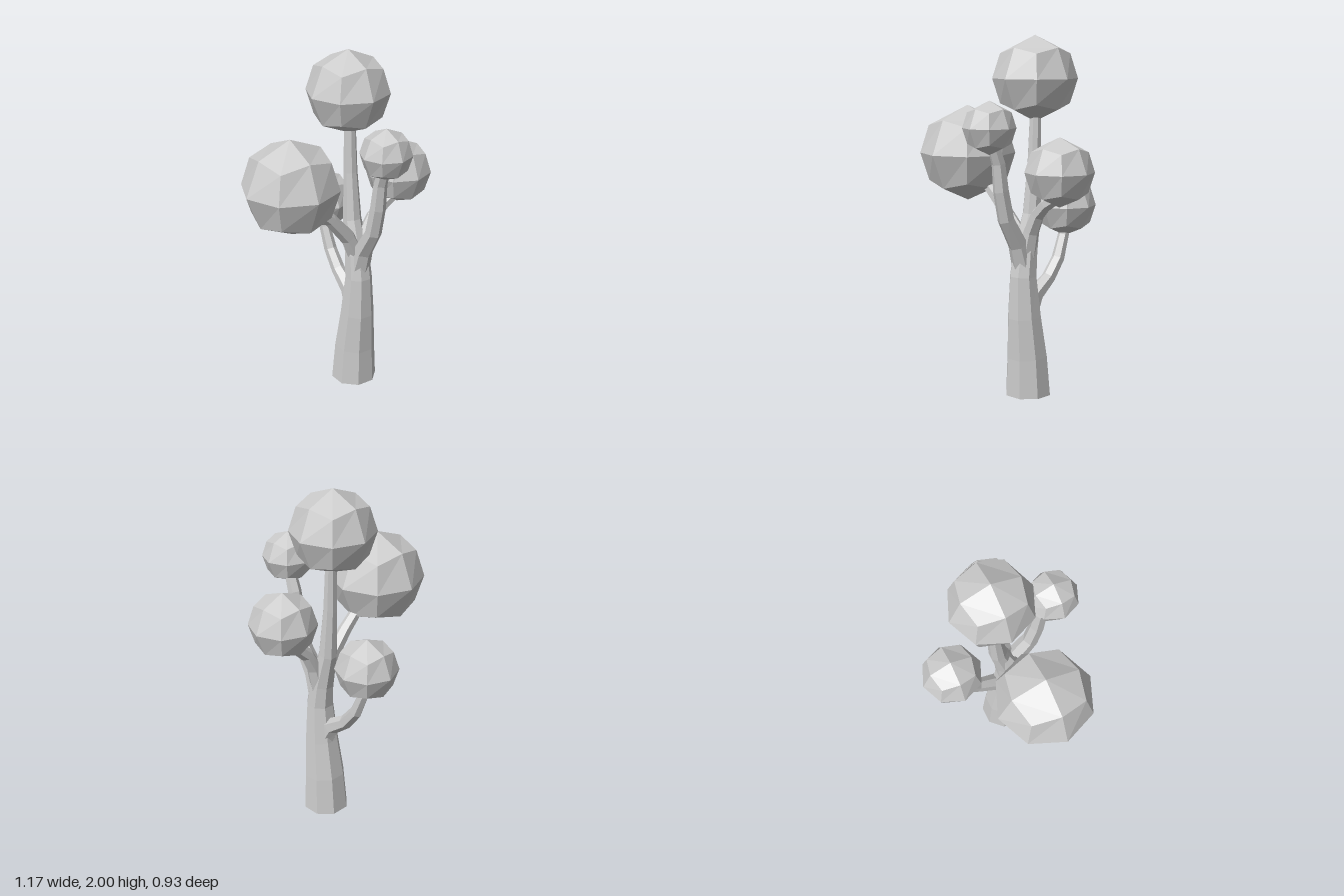
import * as THREE from 'three';

const bark = new THREE.MeshStandardMaterial({ color: 0xcccccc, flatShading: true, side: THREE.DoubleSide });
const leaf = new THREE.MeshStandardMaterial({ color: 0xcccccc, flatShading: true });

// Tapered limb swept through rows of [x, y, z, radius]; binormal is the normal of the bending plane
function limb(name, rows, binormal, sides) {
  const centres = rows.map(([x, y, z]) => new THREE.Vector3(x, y, z));
  const positions = [];
  const index = [];
  rows.forEach((row, i) => {
    const before = centres[Math.max(i - 1, 0)];
    const after = centres[Math.min(i + 1, rows.length - 1)];
    const tangent = after.clone().sub(before).normalize();
    // The cut at ground level stays horizontal
    if (row[1] === 0) tangent.set(0, 1, 0);
    const across = new THREE.Vector3().crossVectors(tangent, binormal).normalize();
    for (let k = 0; k < sides; k++) {
      const a = ((k + 0.5) / sides) * Math.PI * 2;
      const p = centres[i].clone()
        .addScaledVector(binormal, Math.cos(a) * row[3])
        .addScaledVector(across, Math.sin(a) * row[3]);
      positions.push(p.x, p.y, p.z);
      if (i > 0) {
        const next = (k + 1) % sides;
        const lo = (i - 1) * sides;
        const hi = i * sides;
        index.push(lo + k, lo + next, hi + next, lo + k, hi + next, hi + k);
      }
    }
  });
  const indexed = new THREE.BufferGeometry();
  indexed.setAttribute('position', new THREE.Float32BufferAttribute(positions, 3));
  indexed.setIndex(index);
  const geometry = indexed.toNonIndexed();
  geometry.computeVertexNormals();
  const mesh = new THREE.Mesh(geometry, bark);
  mesh.name = name;
  return mesh;
}

// Faceted ball: a cube with 2 x 2 faces per side, pushed out to a sphere
function foliage(name, x, y, z, radius) {
  const box = new THREE.BoxGeometry(1, 1, 1, 2, 2, 2);
  const pos = box.attributes.position;
  const v = new THREE.Vector3();
  for (let i = 0; i < pos.count; i++) {
    v.fromBufferAttribute(pos, i).setLength(radius);
    pos.setXYZ(i, v.x, v.y, v.z);
  }
  const geometry = box.toNonIndexed();
  geometry.computeVertexNormals();
  const mesh = new THREE.Mesh(geometry, leaf);
  mesh.name = name;
  mesh.position.set(x, y, z);
  return mesh;
}

export function createModel() {
  const tree = new THREE.Group();
  tree.name = 'tree';
  const X = new THREE.Vector3(1, 0, 0);
  const Z = new THREE.Vector3(0, 0, 1);

  // Trunk, open at the ground, rising into the top ball
  tree.add(limb('trunk', [
    [0.13, 0, 0.028, 0.132],
    [0.13, 0.22, 0.036, 0.118],
    [0.13, 0.45, 0.058, 0.098],
    [0.13, 0.68, 0.068, 0.078],
    [0.13, 0.82, 0.05, 0.07],
    [0.13, 1.02, 0.0, 0.053],
    [0.13, 1.3, -0.02, 0.04],
    [0.13, 1.62, -0.03, 0.032],
  ], X, 8));

  // Branches in the side-to-side plane
  tree.add(limb('rightBranch', [
    [0.13, 0.8, 0.055, 0.055],
    [0.06, 0.94, 0.058, 0.045],
    [-0.06, 1.08, 0.06, 0.038],
    [-0.14, 1.155, 0.06, 0.034],
    [-0.25, 1.25, 0.06, 0.03],
  ], Z, 6));
  tree.add(limb('leftBranch', [
    [0.14, 0.78, 0.055, 0.055],
    [0.18, 0.93, 0.058, 0.045],
    [0.23, 1.03, 0.062, 0.04],
    [0.3, 1.095, 0.068, 0.036],
    [0.4, 1.15, 0.068, 0.03],
  ], Z, 6));

  // Branches in the front-to-back plane
  tree.add(limb('frontBranch', [
    [0.13, 0.72, 0.065, 0.065],
    [0.13, 0.86, 0.11, 0.056],
    [0.13, 1.01, 0.205, 0.047],
    [0.13, 1.17, 0.243, 0.044],
    [0.13, 1.32, 0.262, 0.038],
    [0.125, 1.45, 0.31, 0.032],
  ], X, 6));
  tree.add(limb('backBranch', [
    [0.13, 0.45, 0.03, 0.055],
    [0.13, 0.56, -0.025, 0.05],
    [0.13, 0.64, -0.14, 0.04],
    [0.13, 0.74, -0.22, 0.037],
    [0.125, 0.87, -0.272, 0.032],
    [0.12, 0.98, -0.29, 0.028],
  ], X, 6));

  // Foliage balls
  tree.add(
    foliage('topFoliage', 0.12, 1.765, -0.035, 0.235),
    foliage('rightFoliage', -0.315, 1.335, 0.06, 0.272),
    foliage('leftFoliage', 0.395, 1.277, 0.068, 0.188),
    foliage('frontFoliage', 0.12, 1.513, 0.32, 0.144),
    foliage('backFoliage', 0.12, 1.04, -0.29, 0.176),
  );
  return tree;
}
